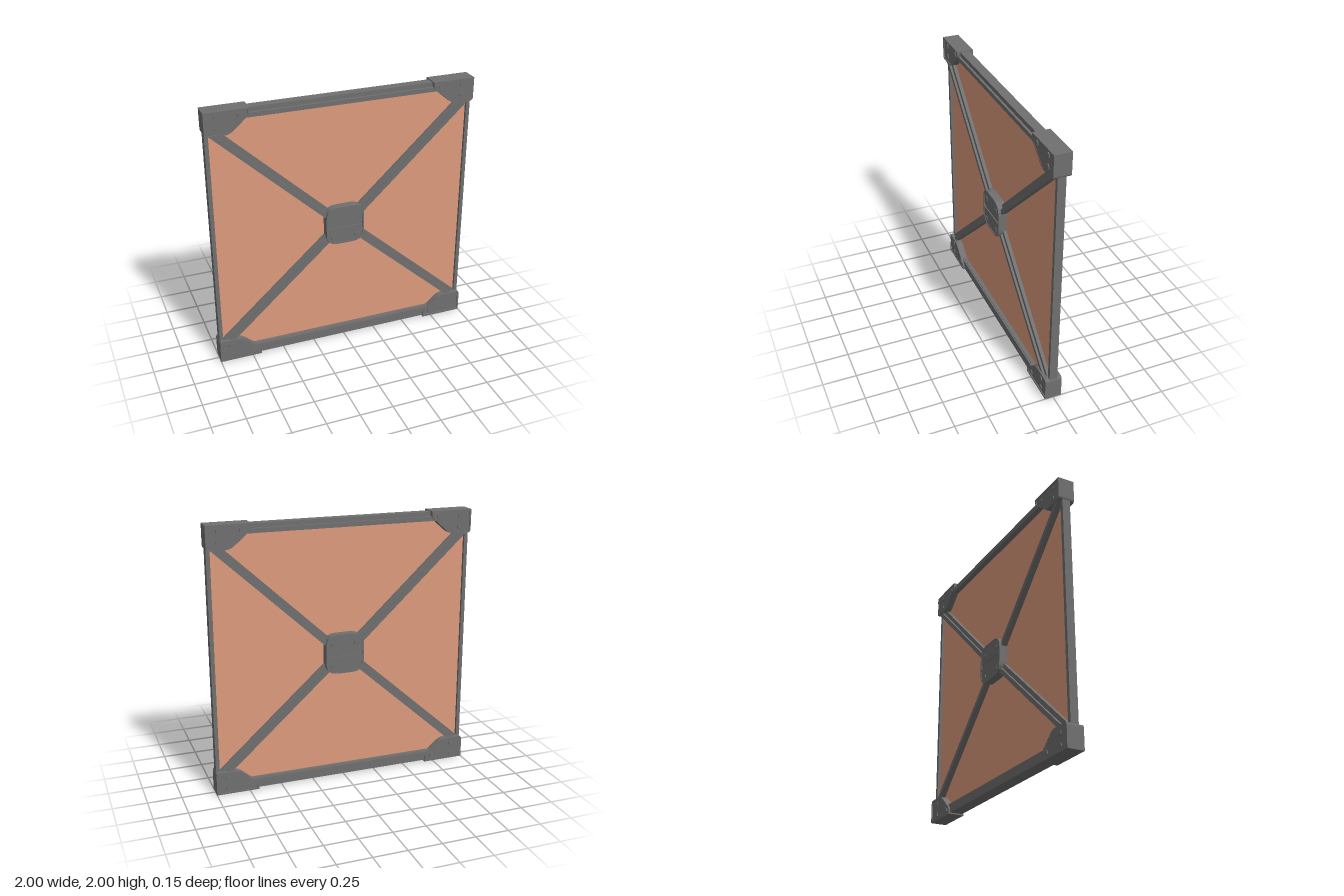
import * as THREE from 'three';

const metal = new THREE.MeshStandardMaterial({ color: 0x707070, flatShading: true });
const panelMat = new THREE.MeshStandardMaterial({ color: 0xdd9b7d });

function add(parent, name, geometry, material = metal) {
  const mesh = new THREE.Mesh(geometry, material);
  mesh.name = name;
  parent.add(mesh);
  return mesh;
}

function box(parent, name, w, h, d, x, y, z = 0) {
  const mesh = add(parent, name, new THREE.BoxGeometry(w, h, d));
  mesh.position.set(x, y, z);
  return mesh;
}

// Extrusion centred on z = 0
function slab(shape, depth) {
  return new THREE.ExtrudeGeometry(shape, { depth, bevelEnabled: false, curveSegments: 5 })
    .translate(0, 0, -depth / 2);
}

// Polygon with each corner rounded by its own radius: points are [x, y, r]
function rounded(points, ShapeType = THREE.Shape) {
  const shape = new ShapeType();
  const n = points.length;
  points.forEach(([x, y, r], i) => {
    const p = new THREE.Vector2(x, y);
    const toward = ([qx, qy]) => new THREE.Vector2(qx, qy).sub(p).setLength(r).add(p);
    const a = toward(points[(i + n - 1) % n]);
    const b = toward(points[(i + 1) % n]);
    if (i === 0) shape.moveTo(a.x, a.y);
    else shape.lineTo(a.x, a.y);
    if (r > 0) shape.quadraticCurveTo(x, y, b.x, b.y);
  });
  shape.closePath();
  return shape;
}

// Recessed plate with a raised lip on both faces
function rimmedPlate(parent, name, outer, inner, faceDepth, rimDepth) {
  add(parent, name + 'Body', slab(rounded(outer), faceDepth));
  const rim = rounded(outer);
  rim.holes.push(rounded(inner, THREE.Path));
  add(parent, name + 'Rim', slab(rim, rimDepth));
}

// Hexagonal bolt showing on both faces
function bolt(parent, x, y, length) {
  const geometry = new THREE.CylinderGeometry(0.02, 0.02, length, 6).rotateX(Math.PI / 2);
  add(parent, 'bolt', geometry).position.set(x, y, 0);
}

// Stepped bar between two points, its lower half wider than its upper half
function steppedBar(parent, name, x0, y0, x1, y1, width) {
  const bar = new THREE.Group();
  bar.name = name;
  const length = Math.hypot(x1 - x0, y1 - y0);
  box(bar, 'web', length, width, 0.07, 0, 0);
  box(bar, 'flange', length, width / 2, 0.104, 0, -width / 4);
  bar.position.set((x0 + x1) / 2, (y0 + y1) / 2, 0);
  bar.rotation.z = Math.atan2(y1 - y0, x1 - x0);
  parent.add(bar);
}

export function createModel() {
  const model = new THREE.Group();
  model.name = 'bracedPanel';

  // Infill panel
  add(model, 'panel', new THREE.BoxGeometry(1.95, 1.9, 0.02), panelMat).position.y = 1;

  // Outer frame
  steppedBar(model, 'topRail', -0.97, 1.96, 0.97, 1.96, 0.066);
  box(model, 'bottomRail', 1.94, 0.07, 0.1, 0, 0.045);
  box(model, 'bottomRailLip', 1.94, 0.01, 0.08, 0, 0.08);
  for (const s of [-1, 1]) box(model, 'sidePost', 0.028, 1.9, 0.06, s * 0.981, 1);

  // Diagonal braces, drawn left to right so the wide half stays below
  steppedBar(model, 'upperRightBrace', 0.05, 1.015, 0.95, 1.853, 0.066);
  steppedBar(model, 'upperLeftBrace', -0.95, 1.853, -0.05, 1.015, 0.066);
  steppedBar(model, 'lowerRightBrace', 0.05, 0.957, 0.95, 0.149, 0.066);
  steppedBar(model, 'lowerLeftBrace', -0.95, 0.149, -0.05, 0.957, 0.066);

  // Corner gussets: one outline mirrored into each corner
  const outer = [[1, 0, 0], [1, 0.175, 0.025], [0.83, 0.175, 0.04], [0.68, 0.045, 0.025], [0.68, 0, 0]];
  const inner = [[0.988, 0.012, 0], [0.988, 0.165, 0.02], [0.833, 0.165, 0.035], [0.692, 0.042, 0.015], [0.692, 0.012, 0]];
  for (const sx of [-1, 1]) {
    for (const top of [false, true]) {
      const place = ([x, y, r]) => [sx * x, top ? 2 - y : y, r];
      const gusset = new THREE.Group();
      gusset.name = (top ? 'upper' : 'lower') + (sx > 0 ? 'Left' : 'Right') + 'Gusset';
      rimmedPlate(gusset, 'gusset', outer.map(place), inner.map(place), 0.112, 0.126);
      for (const p of [[0.91, 0.125], [0.91, 0.043], [0.745, 0.043]]) {
        const [x, y] = place(p);
        bolt(gusset, x, y, 0.126);
      }
      model.add(gusset);
    }
  }

  // Centre hub: rounded plate split by a horizontal groove
  const hub = new THREE.Group();
  hub.name = 'centreHub';
  const square = (h, v, r) => [[-h, -v, r], [h, -v, r], [h, v, r], [-h, v, r]]
    .map(([x, y, c]) => [x, y + 0.99, c]);
  rimmedPlate(hub, 'hub', square(0.148, 0.15, 0.09), square(0.138, 0.14, 0.083), 0.124, 0.146);
  const half = (s, edge) => rounded([[-0.138, edge, 0], [0.138, edge, 0],
    [0.138, 0.99 + s * 0.14, 0.083], [-0.138, 0.99 + s * 0.14, 0.083]]);
  add(hub, 'upperPlate', slab(half(1, 1.003), 0.138));
  add(hub, 'lowerPlate', slab(half(-1, 0.973), 0.138));
  for (const x of [-0.092, 0.088]) for (const y of [0.895, 1.065]) bolt(hub, x, y, 0.148);
  model.add(hub);

  return model;
}
